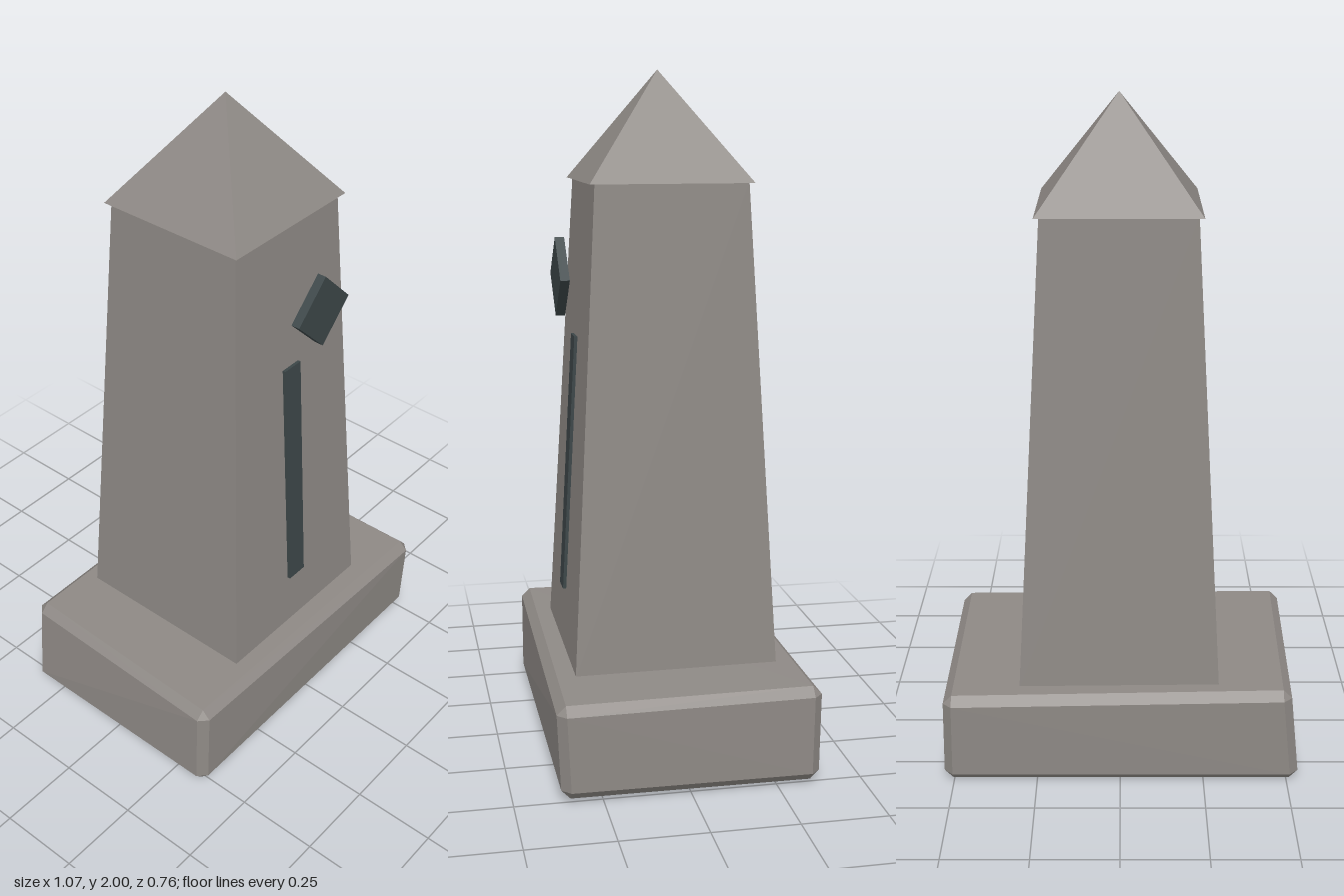
import * as THREE from 'three';
import { ConvexGeometry } from 'three/addons/geometries/ConvexGeometry.js';

const stone = new THREE.MeshStandardMaterial({ color: 0x8e8985 });
stone.name = 'stone';
const inlay = new THREE.MeshStandardMaterial({ color: 0x3c4648 });
inlay.name = 'dark inlay';

// Each corner of a rough block is cut into three points, one per adjoining face
function roughBlock(corners, cut) {
  const points = [];
  for (const [x, y, z, top] of corners) {
    const dx = -Math.sign(x) * cut, dz = -Math.sign(z) * cut, dy = top ? -cut : cut;
    points.push(
      new THREE.Vector3(x, y + dy, z + dz),
      new THREE.Vector3(x + dx, y, z + dz),
      new THREE.Vector3(x + dx, y + dy, z)
    );
  }
  return new ConvexGeometry(points);
}

// Square frustum standing on y = 0, sides facing the axes
function squareTaper(topHalf, bottomHalf, height) {
  const geometry = new THREE.CylinderGeometry(topHalf * Math.SQRT2, bottomHalf * Math.SQRT2, height, 4, 1)
    .rotateY(Math.PI / 4)
    .translate(0, height / 2, 0)
    .toNonIndexed();
  geometry.computeVertexNormals();
  return geometry;
}

export function createModel() {
  const group = new THREE.Group();
  group.name = 'obelisk';
  const add = (name, geometry, material, x = 0, y = 0, z = 0) => {
    const mesh = new THREE.Mesh(geometry, material);
    mesh.name = name;
    mesh.position.set(x, y, z);
    group.add(mesh);
    return mesh;
  };

  // Uneven plinth with chamfered edges
  add('plinth', roughBlock([
    [-0.53, 0.298, 0.366, true], [0.53, 0.285, 0.378, true],
    [-0.51, 0.298, -0.364, true], [0.525, 0.288, -0.38, true],
    [-0.537, 0.003, 0.365, false], [0.53, 0.012, 0.368, false],
    [-0.535, 0, -0.362, false], [0.528, 0.008, -0.375, false]
  ], 0.026), stone);

  // Tapering shaft and pointed cap
  add('shaft', squareTaper(0.22, 0.298, 1.41), stone, 0.003, 0.28, -0.002);
  add('cap', squareTaper(0, 0.235, 0.315), stone, 0.003, 1.685, -0.001);

  // Long strip lying on the sloping front face
  const strip = add('frontStrip', new THREE.BoxGeometry(0.07, 0.77, 0.03), inlay, 0, 0.85, 0.259);
  strip.rotation.x = -Math.atan(0.078 / 1.41);

  // Diamond set off from the front face
  const diamond = add('frontDiamond', new THREE.BoxGeometry(0.16, 0.16, 0.027), inlay, 0.06, 1.415, 0.296);
  diamond.rotation.z = Math.PI / 4;

  return group;
}
